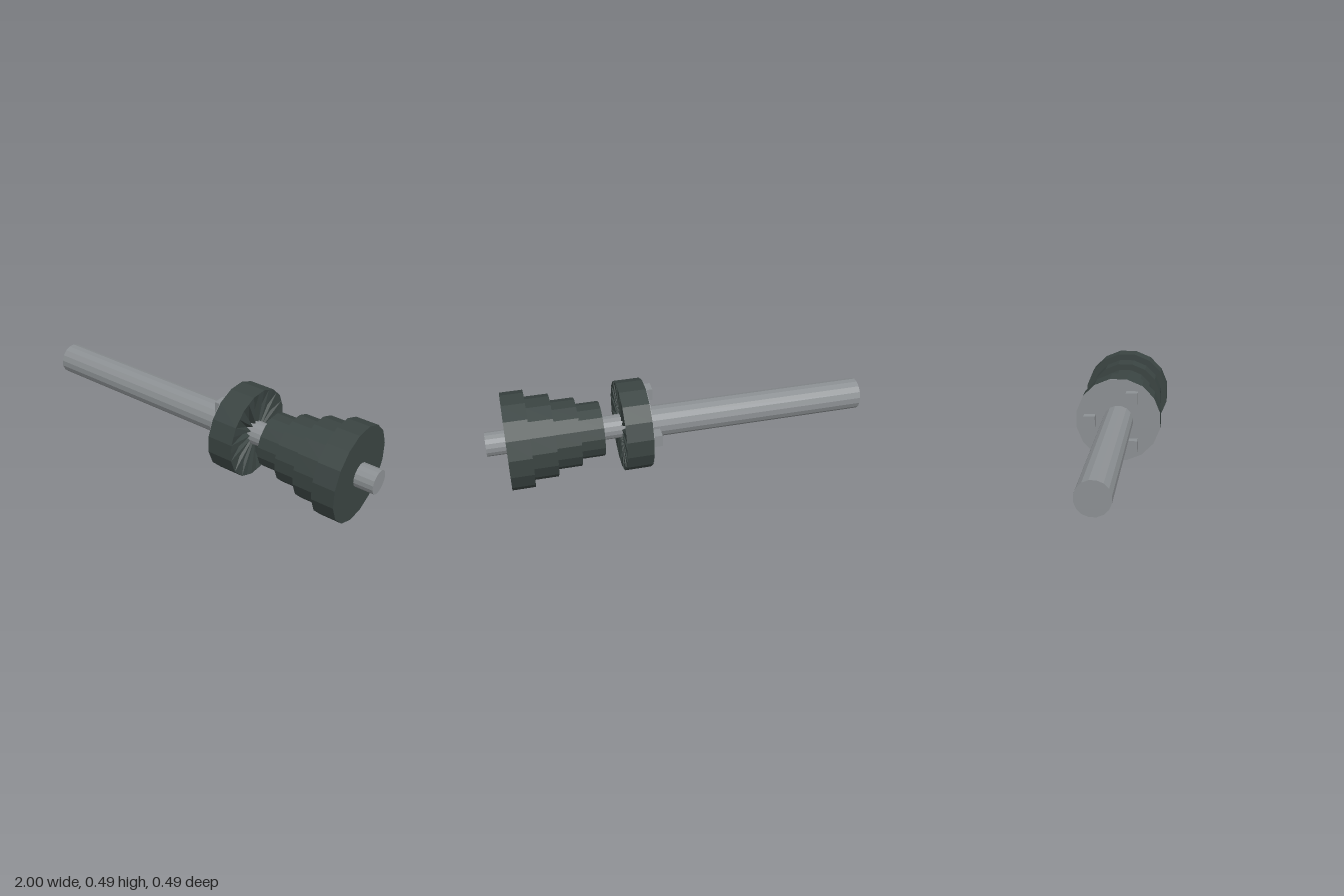
import * as THREE from 'three';

const SIDES = 16;
const STEP = (Math.PI * 2) / SIDES;
const AXIS_Y = 0.246;

export function createModel() {
  const model = new THREE.Group();
  model.name = 'steppedPulleyShaft';
  const dark = new THREE.MeshStandardMaterial({ color: 0x3a4442, flatShading: true });
  dark.name = 'dark painted iron';
  const steel = new THREE.MeshStandardMaterial({ color: 0x8c9093, flatShading: true });
  steel.name = 'grey steel';

  // Everything is modelled around the x axis, then lifted to axle height
  const axle = new THREE.Group();
  axle.name = 'axle';
  axle.position.y = AXIS_Y;
  model.add(axle);

  const add = (name, geometry, material) => {
    const mesh = new THREE.Mesh(geometry, material);
    mesh.name = name;
    axle.add(mesh);
    return mesh;
  };
  // Sixteen-sided drum lying along x, with flats on top and bottom
  const drum = (name, x0, x1, radius, material, open = false) => {
    const g = new THREE.CylinderGeometry(radius, radius, x1 - x0, SIDES, 1, open, STEP / 2);
    g.rotateZ(-Math.PI / 2);
    g.translate((x0 + x1) / 2, 0, 0);
    return add(name, g, material);
  };

  // Shafts
  drum('longShaft', -1, 0.19, 0.083, steel);
  drum('thinShaft', 0.19, 1, 0.0625, steel);

  // Stepped pulley, growing towards the end
  [[0.412, 0.535, 0.143], [0.535, 0.66, 0.178], [0.66, 0.783, 0.214], [0.783, 0.9, 0.25]]
    .forEach(([x0, x1, r], i) => drum(`pulleyStep${i + 1}`, x0, x1, r, dark));

  // Clutch collar: rim, steel back plate and toothed face
  const R = 0.235;
  drum('collarRim', 0.18, 0.318, R, dark, true);
  drum('collarBackPlate', 0.177, 0.182, R - 0.001, steel);
  add('collarToothedFace', toothedFace(0.318, R), dark);

  // Three drive lugs on the back plate
  for (let i = 0; i < 3; i++) {
    const a = Math.PI + (i * Math.PI * 2) / 3;
    const lug = add(`driveLug${i + 1}`, new THREE.BoxGeometry(0.055, 0.064, 0.064), steel);
    lug.position.set(0.1545, 0.155 * Math.sin(a), 0.155 * Math.cos(a));
  }
  return model;
}

// Ring of radial teeth that deepen towards the bore
function toothedFace(x, radius) {
  const count = SIDES * 2;
  const points = [];
  const rim = (i) => {
    const a = (i * STEP) / 2;
    const r = i % 2 ? radius : radius * Math.cos(STEP / 2);
    return [x, r * Math.cos(a), r * Math.sin(a)];
  };
  const bore = (i) => {
    const a = (i * STEP) / 2;
    return [i % 2 ? x - 0.006 : x - 0.04, 0.06 * Math.cos(a), 0.06 * Math.sin(a)];
  };
  for (let i = 0; i < count; i++) {
    points.push(...bore(i), ...rim(i), ...rim(i + 1));
    points.push(...bore(i), ...rim(i + 1), ...bore(i + 1));
  }
  const g = new THREE.BufferGeometry();
  g.setAttribute('position', new THREE.Float32BufferAttribute(points, 3));
  g.computeVertexNormals();
  return g;
}
